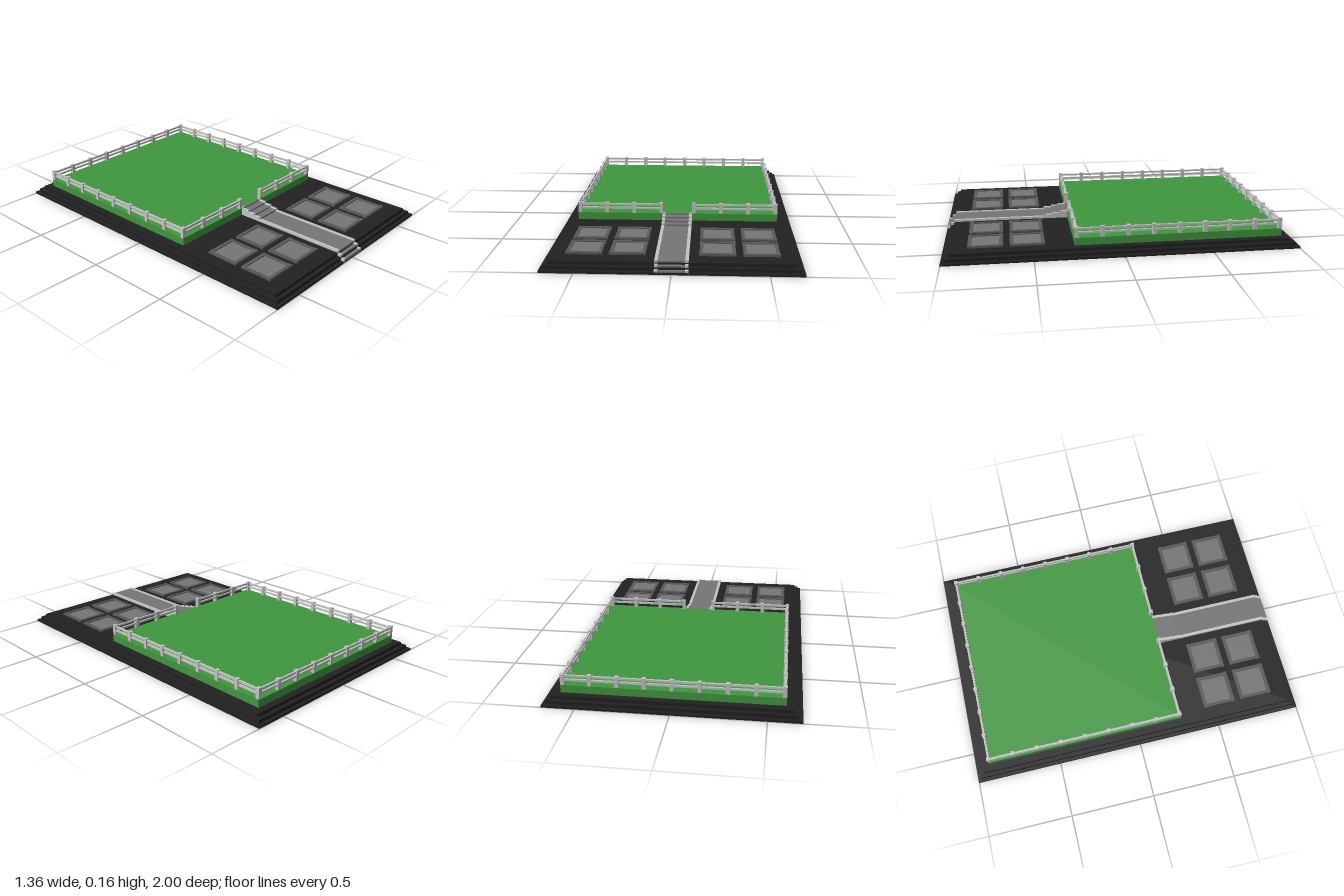
import * as THREE from 'three';

const material = (name, color) => {
  const m = new THREE.MeshStandardMaterial({ color });
  m.name = name;
  return m;
};

export function createModel() {
  const black = material('black stone', 0x212121);
  const green = material('grass green', 0x40983f);
  const grey = material('paving grey', 0x767676);
  const darkGrey = material('frame grey', 0x5a5a5a);
  const light = material('fence light grey', 0xc4c4c4);

  const root = new THREE.Group();
  root.name = 'fencedLawn';
  const group = (name) => {
    const g = new THREE.Group();
    g.name = name;
    root.add(g);
    return g;
  };
  // Box given by its centre in x and z and its bottom and top heights
  const box = (parent, name, mat, x, z, w, d, y0, y1) => {
    const mesh = new THREE.Mesh(new THREE.BoxGeometry(w, y1 - y0, d), mat);
    mesh.position.set(x, (y0 + y1) / 2, z);
    mesh.name = name;
    parent.add(mesh);
  };

  // Stepped base
  const base = group('base');
  [[0.68, 1, 0, 0.012], [0.66, 0.98, 0.012, 0.032], [0.637, 0.957, 0.032, 0.051]].forEach(
    ([x, z, y0, y1], i) => box(base, 'baseTier' + (i + 1), black, 0, 0, x * 2, z * 2, y0, y1));

  // Raised square lawn
  const cz = -0.322;
  box(root, 'lawn', green, 0, cz, 1.188, 1.188, 0.051, 0.095);

  // Fence: posts at even intervals, joined by two rails
  const fence = group('fence');
  const half = 0.583, front = cz + half, back = cz - half;
  const posts = new Set();
  const run = (x0, z0, x1, z1, n) => {
    for (let i = 0; i <= n; i++) {
      const x = x0 + (x1 - x0) * i / n, z = z0 + (z1 - z0) * i / n;
      const key = x.toFixed(3) + ',' + z.toFixed(3);
      if (posts.has(key)) continue;
      posts.add(key);
      box(fence, 'post', light, x, z, 0.022, 0.022, 0.095, 0.157);
    }
    for (const y of [0.117, 0.14]) {
      box(fence, 'rail', light, (x0 + x1) / 2, (z0 + z1) / 2,
        Math.abs(x1 - x0) || 0.011, Math.abs(z1 - z0) || 0.011, y, y + 0.011);
    }
  };
  run(-half, back, half, back, 8);
  for (const s of [-1, 1]) {
    run(s * half, back, s * half, front, 8);
    run(s * half, front, s * 0.097, front, 3);
  }

  // Path and kerbs: a stepped side profile extruded across x
  const path = group('path');
  const steps = [[1, 0.02], [0.978, 0.04], [0.957, 0.059], [0.405, 0.069],
    [0.362, 0.078], [0.318, 0.087], [0.275, 0.0955]]; // [front edge z, height]
  const stepped = (name, mat, x, width, lift) => {
    const end = 0.265;
    const shape = new THREE.Shape();
    shape.moveTo(end, 0.001);
    shape.lineTo(1, 0.001);
    steps.forEach(([z, y], i) => {
      const next = i + 1 < steps.length ? steps[i + 1][0] : end;
      shape.lineTo(z, y + lift);
      shape.lineTo(next, y + lift);
    });
    const geo = new THREE.ExtrudeGeometry(shape, { depth: width, bevelEnabled: false });
    geo.translate(0, 0, -width / 2).rotateY(-Math.PI / 2);
    const mesh = new THREE.Mesh(geo, mat);
    mesh.position.x = x;
    mesh.name = name;
    path.add(mesh);
  };
  stepped('walkway', grey, 0, 0.14, 0);
  for (const s of [-1, 1]) stepped('kerb', light, s * 0.079, 0.018, 0.005);

  // Eight framed paving beds, four on each side of the path
  const beds = group('beds');
  for (const s of [-1, 1]) for (const x of [0.237, 0.467]) for (const z of [0.531, 0.763]) {
    box(beds, 'bedPanel', grey, s * x, z, 0.17, 0.17, 0.051, 0.057);
    for (const e of [-1, 1]) {
      box(beds, 'bedFrameEnd', darkGrey, s * x, z + e * 0.087, 0.195, 0.02, 0.051, 0.063);
      box(beds, 'bedFrameSide', darkGrey, s * x + e * 0.0865, z, 0.018, 0.155, 0.051, 0.062);
    }
  }
  return root;
}
